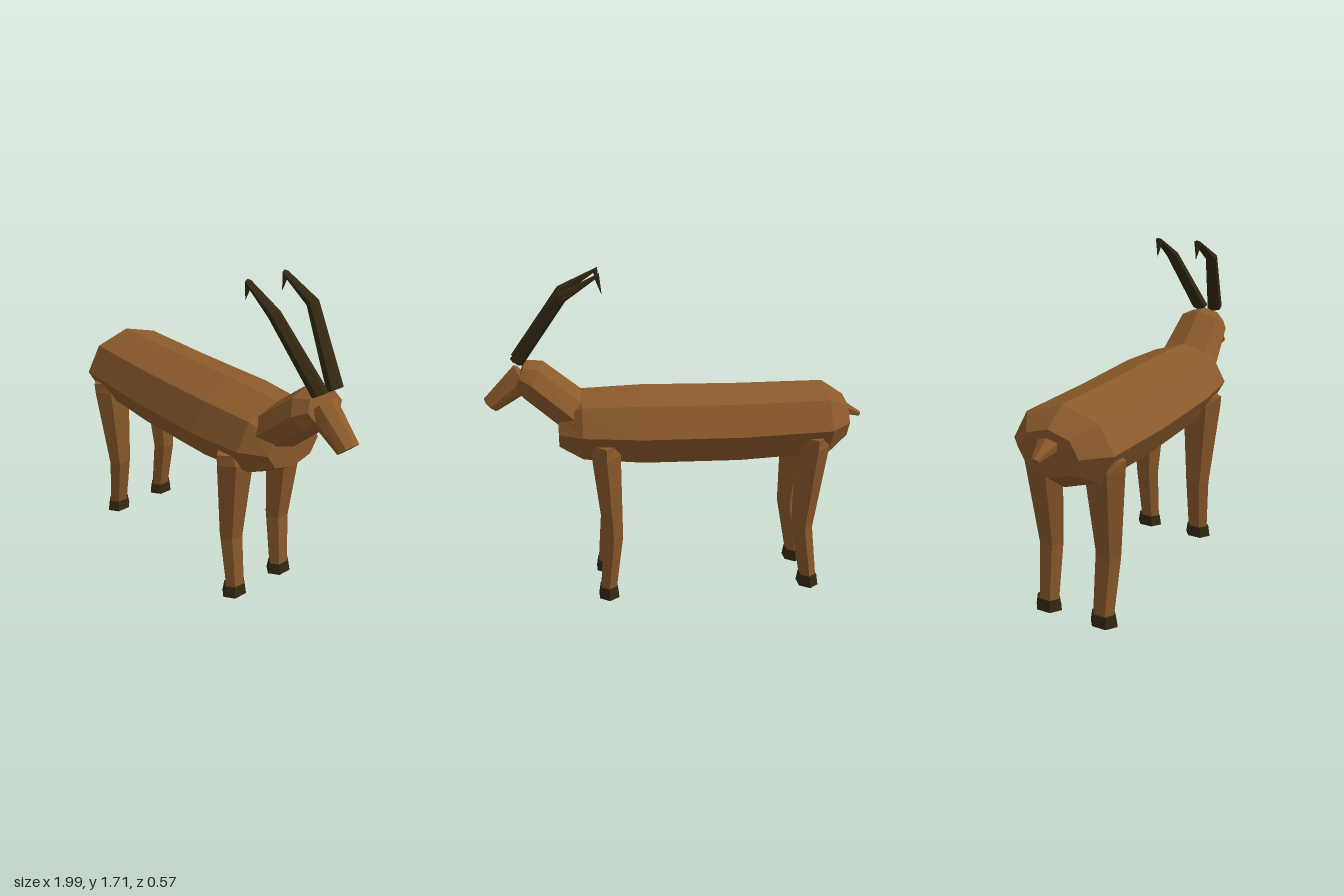
import * as THREE from 'three';

// Skins a row of elliptical rings [x, y, z, ux, uy, rz] and caps both ends.
// (ux, uy) is the ring's radius vector in the side plane, rz its half depth.
function loft(rings, sides, phase = 0) {
  const pos = [];
  const point = (r, i) => {
    const a = phase + ((i % sides) / sides) * Math.PI * 2;
    const c = Math.cos(a), s = Math.sin(a);
    return [r[0] + r[3] * c, r[1] + r[4] * c, r[2] + r[5] * s];
  };
  const first = rings[0], last = rings[rings.length - 1];
  for (let i = 0; i < sides; i++) {
    for (let k = 0; k < rings.length - 1; k++) {
      const a = point(rings[k], i), b = point(rings[k], i + 1);
      const c = point(rings[k + 1], i + 1), d = point(rings[k + 1], i);
      pos.push(...a, ...b, ...c, ...a, ...c, ...d);
    }
    pos.push(...first.slice(0, 3), ...point(first, i + 1), ...point(first, i));
    pos.push(...last.slice(0, 3), ...point(last, i), ...point(last, i + 1));
  }
  const g = new THREE.BufferGeometry();
  g.setAttribute('position', new THREE.Float32BufferAttribute(pos, 3));
  g.computeVertexNormals();
  return g;
}

export function createModel() {
  const group = new THREE.Group();
  const coat = new THREE.MeshStandardMaterial({ color: 0x8b5a2b, flatShading: true });
  coat.name = 'brown coat';
  const horn = new THREE.MeshStandardMaterial({ color: 0x332812, flatShading: true });
  horn.name = 'dark horn';

  const add = (name, material, rings, sides, phase) => {
    const mesh = new THREE.Mesh(loft(rings, sides, phase), material);
    mesh.name = name;
    group.add(mesh);
  };

  // Barrel body, rump to chest
  add('body', coat, [
    [-0.89, 0.915, 0, 0, 0.115, 0.16],
    [-0.77, 0.91, 0, 0, 0.2, 0.27],
    [-0.3, 0.9, 0, 0, 0.21, 0.28],
    [0.2, 0.91, 0, 0, 0.21, 0.285],
    [0.5, 0.92, 0, 0, 0.19, 0.255],
    [0.62, 0.915, 0, 0, 0.11, 0.165],
  ], 8);

  // Neck running up into the back of the head
  add('neck', coat, [
    [0.545, 1.0, 0, -0.075, 0.085, 0.18],
    [0.74, 1.165, 0, -0.052, 0.097, 0.152],
    [0.803, 1.195, 0, -0.028, 0.072, 0.11],
  ], 8);

  // Tapered muzzle
  add('muzzle', coat, [
    [0.785, 1.18, 0, 0.047, 0.062, 0.08],
    [0.957, 1.04, 0, 0.034, 0.032, 0.06],
  ], 8);

  // Short tail
  add('tail', coat, [
    [-0.88, 0.957, 0, 0.018, -0.035, 0.06],
    [-0.99, 0.915, 0, 0.006, -0.012, 0.02],
  ], 6);

  for (const [side, s] of [['left', -1], ['right', 1]]) {
    // Horns sweep back and hook down at the tip
    add(side + 'Horn', horn, [
      [0.815, 1.268, 0.047 * s, -0.03, -0.018, 0.044],
      [0.58, 1.597, 0.12 * s, -0.019, -0.019, 0.034],
      [0.405, 1.695, 0.115 * s, 0.01, -0.015, 0.021],
      [0.386, 1.61, 0.115 * s, 0.001, 0, 0.001],
    ], 6);

    // Legs: hip x, knee x and ankle x
    for (const [end, hip, knee, ankle] of [
      ['Front', 0.388, 0.36, 0.39],
      ['Rear', -0.692, -0.655, -0.7],
    ]) {
      add(side + end + 'Leg', coat, [
        [ankle, 0.05, 0.157 * s, -0.046, 0, 0.058],
        [knee, 0.35, 0.162 * s, -0.056, 0, 0.07],
        [hip, 0.81, 0.167 * s, -0.084, 0, 0.113],
        [hip, 0.866, 0.167 * s, -0.064, 0, 0.117],
      ], 6, Math.PI / 2);
      add(side + end + 'Hoof', horn, [
        [ankle, 0, 0.16 * s, -0.06, 0, 0.076],
        [ankle, 0.06, 0.16 * s, -0.05, 0, 0.066],
      ], 6, Math.PI / 2);
    }
  }
  return group;
}
